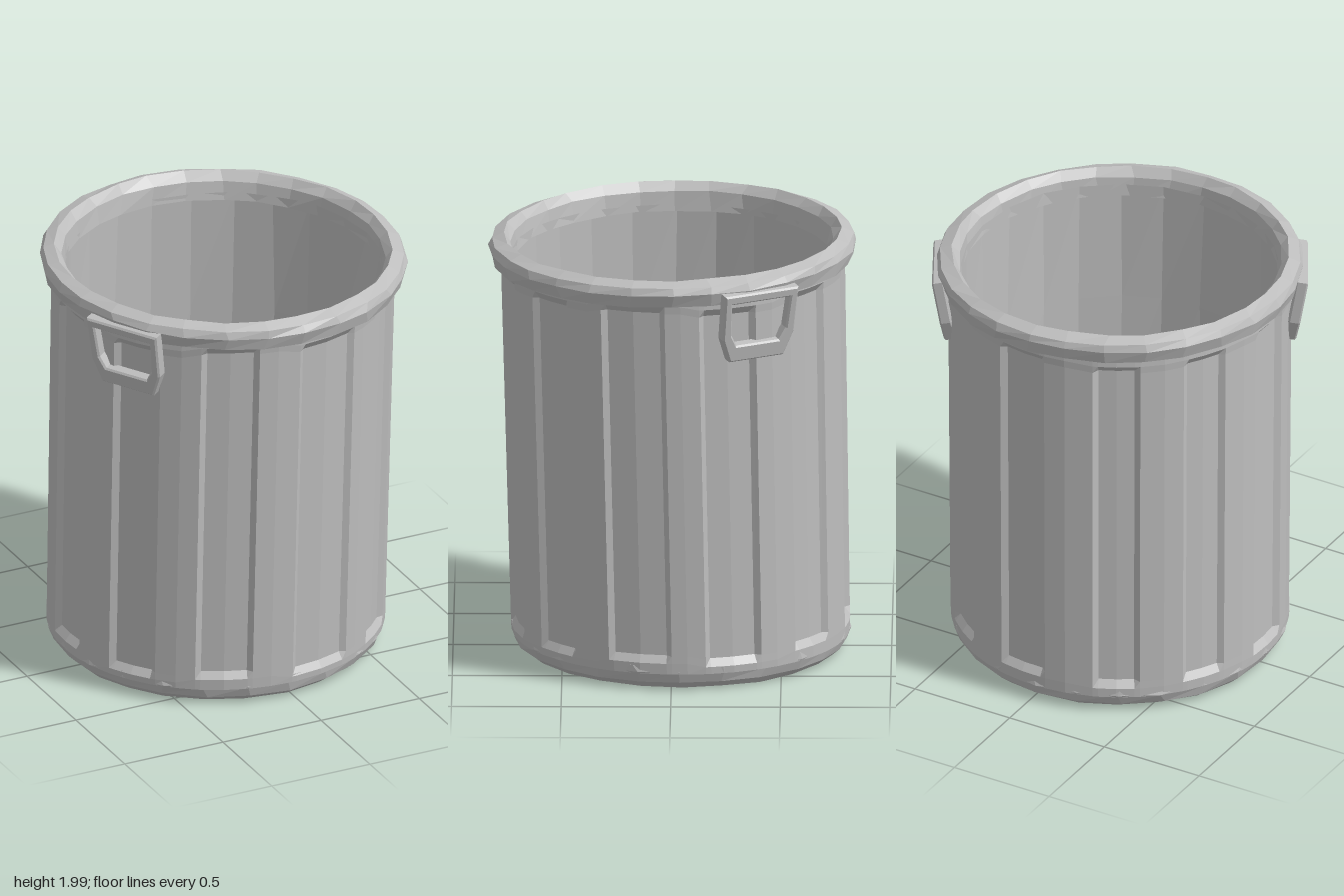
import * as THREE from 'three';

// small seeded generator for the hand-hewn unevenness
function seeded(seed) {
  let s = seed;
  return () => {
    s = (s * 16807) % 2147483647;
    return s / 2147483647 - 0.5;
  };
}

// the bin leans slightly: lower rings shift back and to the right side
const lean = (x, y, z) => [x - 0.022 * (1 - y / 2), y, z - 0.04 * (1 - y / 2)];
// the rim is a little higher at the back right
const tilt = (x, y, z) => [x, y - 0.017 * x - 0.017 * z, z];

// closed surface through rings; at(ring, i) gives a point, profile runs up the outside
function loft(ringCount, n, at) {
  const pos = [], index = [];
  for (let j = 0; j < ringCount; j++)
    for (let i = 0; i < n; i++) pos.push(...at(j, i));
  for (let j = 0; j < ringCount - 1; j++)
    for (let i = 0; i < n; i++) {
      const k = (i + 1) % n;
      const a = j * n + i, b = j * n + k, c = (j + 1) * n + k, d = (j + 1) * n + i;
      index.push(a, b, c, a, c, d);
    }
  const g = new THREE.BufferGeometry();
  g.setAttribute('position', new THREE.Float32BufferAttribute(pos, 3));
  g.setIndex(index);
  const flat = g.toNonIndexed();
  flat.computeVertexNormals();
  return flat;
}

// turned part with slightly uneven facets
function turned(profile, n, warp, rough, seed) {
  const rnd = seeded(seed);
  return loft(profile.length, n, (j, i) => {
    const [r0, y0] = profile[j];
    const wobble = r0 > 0 ? rough : 0;
    const a = ((i + rnd() * wobble * 20) / n) * Math.PI * 2;
    const r = r0 + rnd() * wobble;
    const y = y0 + rnd() * wobble;
    return warp(r * Math.sin(a), y, r * Math.cos(a));
  });
}

// fluted wall: raised panels with recessed vertical grooves
function flutedWall() {
  const rnd = seeded(77);
  const deg = Math.PI / 180;
  // centre and half width of each groove in degrees
  const grooves = [
    [12, 11.5], [44, 8.5], [76.5, 11], [109, 10], [142, 9], [175, 9],
    [209, 8], [240, 8], [271, 9], [303.5, 9], [336.3, 9.8],
  ].map(([centre, half]) => ({ centre, half, depth: 0.025 + rnd() * 0.006, end: rnd() * 0.03 }));
  const sunk = [0, 1, 1, 1, 0, 0];
  // radius, height, groove depth factor
  const rings = [
    [0.772, 0.09, 0], [0.774, 0.13, 0], [0.774, 0.165, 1],
    [0.785, 1.8, 1], [0.788, 1.835, 0], [0.786, 1.9, 0],
  ];
  const per = sunk.length;
  return loft(rings.length, grooves.length * per, (j, i) => {
    const { centre, half, depth, end } = grooves[Math.floor(i / per)];
    const m = i % per;
    const [r0, y0, f] = rings[j];
    const offset = [-half, 1.8 - half, 0, half - 1.8, half, 16.3][m];
    const a = (centre + offset) * deg;
    const r = r0 - sunk[m] * f * depth;
    const y = y0 + (j > 0 && j < 5 ? end : 0);
    return lean(r * Math.sin(a), y, r * Math.cos(a));
  });
}

// hanging loop handle, tapering towards its grip
function handleGeometry() {
  const path = (pts) => pts.map(([x, y]) => new THREE.Vector2(x, y));
  const shape = new THREE.Shape(path([
    [-0.19, 0], [-0.185, -0.22], [-0.14, -0.335], [0.14, -0.335], [0.185, -0.22], [0.19, 0],
  ]));
  shape.holes.push(new THREE.Path(path([
    [-0.15, -0.045], [0.15, -0.045], [0.14, -0.2], [0.11, -0.255], [-0.11, -0.255], [-0.14, -0.2],
  ])));
  return new THREE.ExtrudeGeometry(shape, {
    depth: 0.04, bevelEnabled: true, bevelSize: 0.008, bevelThickness: 0.008,
    bevelOffset: -0.008, bevelSegments: 1,
  });
}

export function createModel() {
  const model = new THREE.Group();
  model.name = 'trashCan';
  const metal = new THREE.MeshStandardMaterial({ color: 0xbebebe });
  metal.name = 'grey metal';

  const add = (name, geometry) => {
    const mesh = new THREE.Mesh(geometry, metal);
    mesh.name = name;
    model.add(mesh);
  };

  // foot band and slightly dished underside
  add('base', turned([
    [0, 0.022], [0.44, 0.022], [0.47, 0.014], [0.715, 0.014], [0.755, 0.045],
    [0.774, 0.095], [0.77, 0.125], [0.745, 0.14],
  ], 24, lean, 0.008, 11));

  add('flutedWall', flutedWall());

  // rolled lip
  add('rim', turned([
    [0.77, 1.855], [0.822, 1.866], [0.838, 1.925], [0.825, 1.96],
    [0.77, 1.98], [0.737, 1.94], [0.725, 1.85],
  ], 28, tilt, 0.008, 29));

  // inner wall and floor
  add('interior', turned([
    [0.73, 1.89], [0.728, 1.3], [0.728, 0.7], [0.728, 0.09], [0, 0.08],
  ], 24, lean, 0.008, 53));

  // pair of side handles on opposite sides
  const loop = handleGeometry();
  for (const [name, angle, height] of [['leftHandle', 2.08, 1.915], ['rightHandle', -1.04, 1.925]]) {
    const pivot = new THREE.Group();
    pivot.name = name;
    pivot.rotation.y = angle;
    const mesh = new THREE.Mesh(loop, metal);
    mesh.name = name + 'Loop';
    mesh.position.set(0, height, 0.81);
    mesh.rotation.x = 0.17;
    pivot.add(mesh);
    model.add(pivot);
  }
  return model;
}
